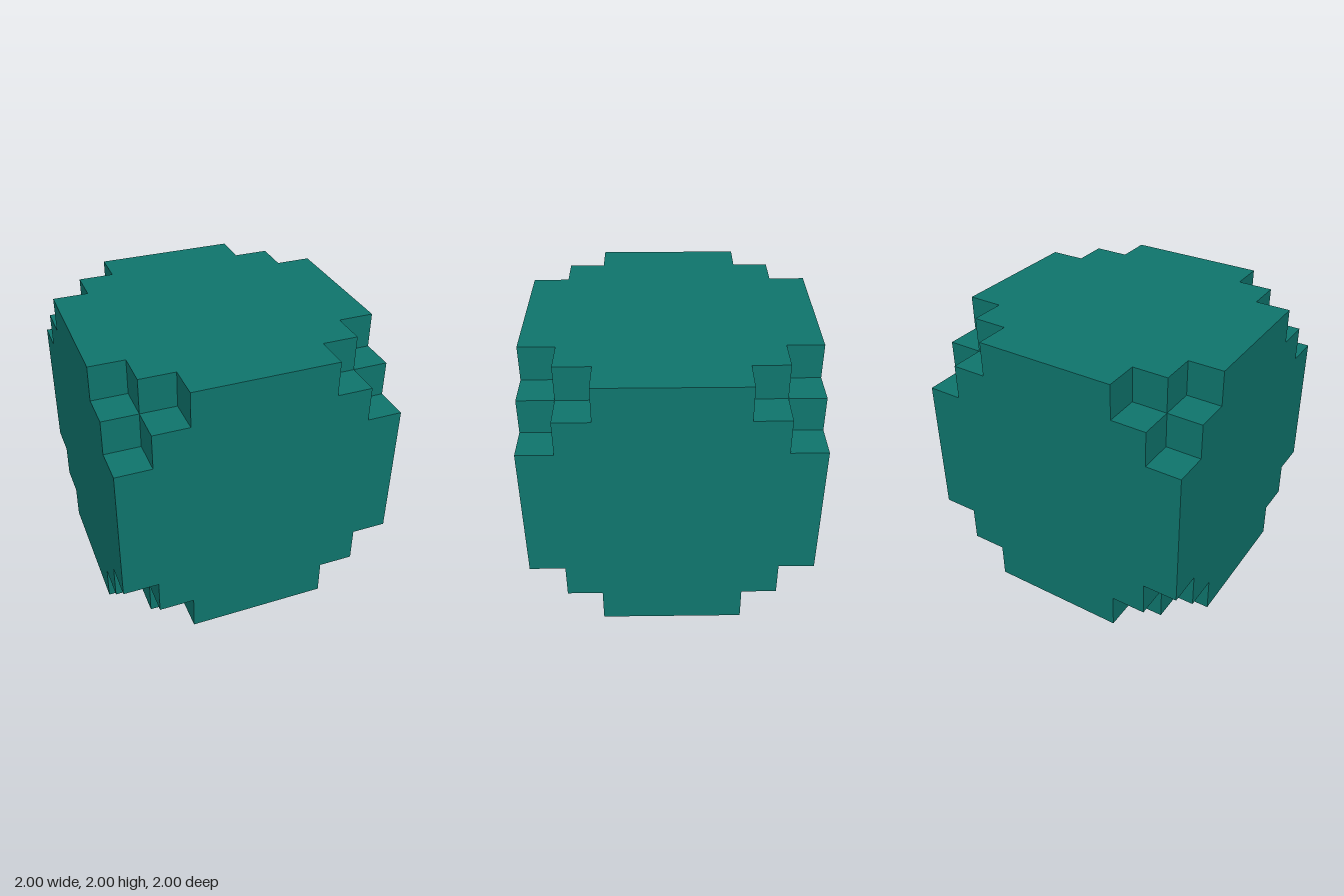
import * as THREE from 'three';
import { mergeGeometries } from 'three/addons/utils/BufferGeometryUtils.js';

const STEP = 0.25; // one block of the stepped corners

// One side of the block, facing +z: a notched plate and the recessed squares in its four corners
function sideGeometry() {
  const notch = [[1, 0.5], [0.75, 0.5], [0.75, 0.75], [0.5, 0.75], [0.5, 1]];
  const recesses = [[0.875, 0.625, 0.75], [0.625, 0.875, 0.75], [0.875, 0.875, 0.5]];
  const outline = [];
  const parts = [];
  for (let i = 0; i < 4; i++) {
    const turn = i * Math.PI / 2;
    for (const [x, y] of notch) {
      outline.push(new THREE.Vector2(x, y).rotateAround(new THREE.Vector2(), turn));
    }
    for (const [x, y, z] of recesses) {
      parts.push(new THREE.PlaneGeometry(STEP, STEP).translate(x, y, z).rotateZ(turn));
    }
  }
  parts.push(new THREE.ShapeGeometry(new THREE.Shape(outline)).translate(0, 0, 1));
  return mergeGeometries(parts);
}

export function createModel() {
  const model = new THREE.Group();
  model.name = 'steppedCube';
  const teal = new THREE.MeshStandardMaterial({ color: 0x0f766e });
  teal.name = 'teal';

  // The same side turned to face all six directions
  const side = sideGeometry();
  const q = Math.PI / 2;
  const turns = {
    frontSide: [0, 0], leftSide: [0, q], backSide: [0, 2 * q],
    rightSide: [0, -q], topSide: [-q, 0], bottomSide: [q, 0],
  };
  for (const [name, [rx, ry]] of Object.entries(turns)) {
    const mesh = new THREE.Mesh(side, teal);
    mesh.name = name;
    mesh.rotation.set(rx, ry, 0);
    mesh.position.y = 1;
    model.add(mesh);
  }
  return model;
}
